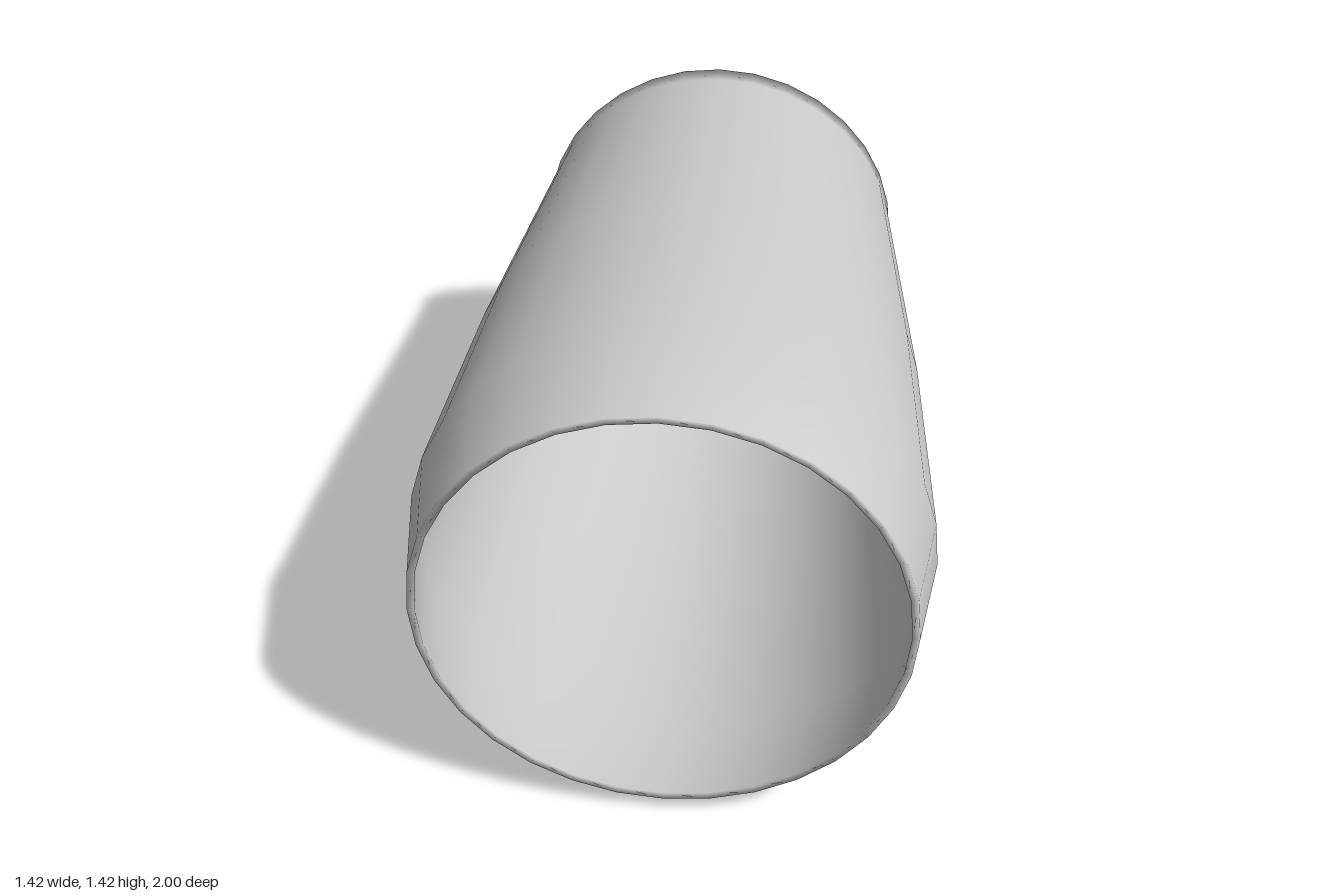
import * as THREE from 'three';

export function createModel() {
  const group = new THREE.Group();
  group.name = 'tumbler';
  const material = new THREE.MeshStandardMaterial({ color: 0xcccccc });

  // Closed wall profile [radius, z]: outer base, outer wall, rim, inner wall, inner floor
  const profile = [
    [0, -1], [0.585, -1], [0.585, -0.93], [0.67, 0], [0.71, 0.71], [0.66, 1],
    [0.64, 0.998], [0.69, 0.71], [0.65, 0], [0.565, -0.93], [0.565, -0.98], [0, -0.98],
  ].map(([r, z]) => new THREE.Vector2(r, z));

  // Cup lying on its side, mouth to the front
  const cup = new THREE.Mesh(new THREE.LatheGeometry(profile, 32).rotateX(Math.PI / 2), material);
  cup.name = 'cup';
  cup.position.y = 0.713;
  group.add(cup);
  return group;
}
